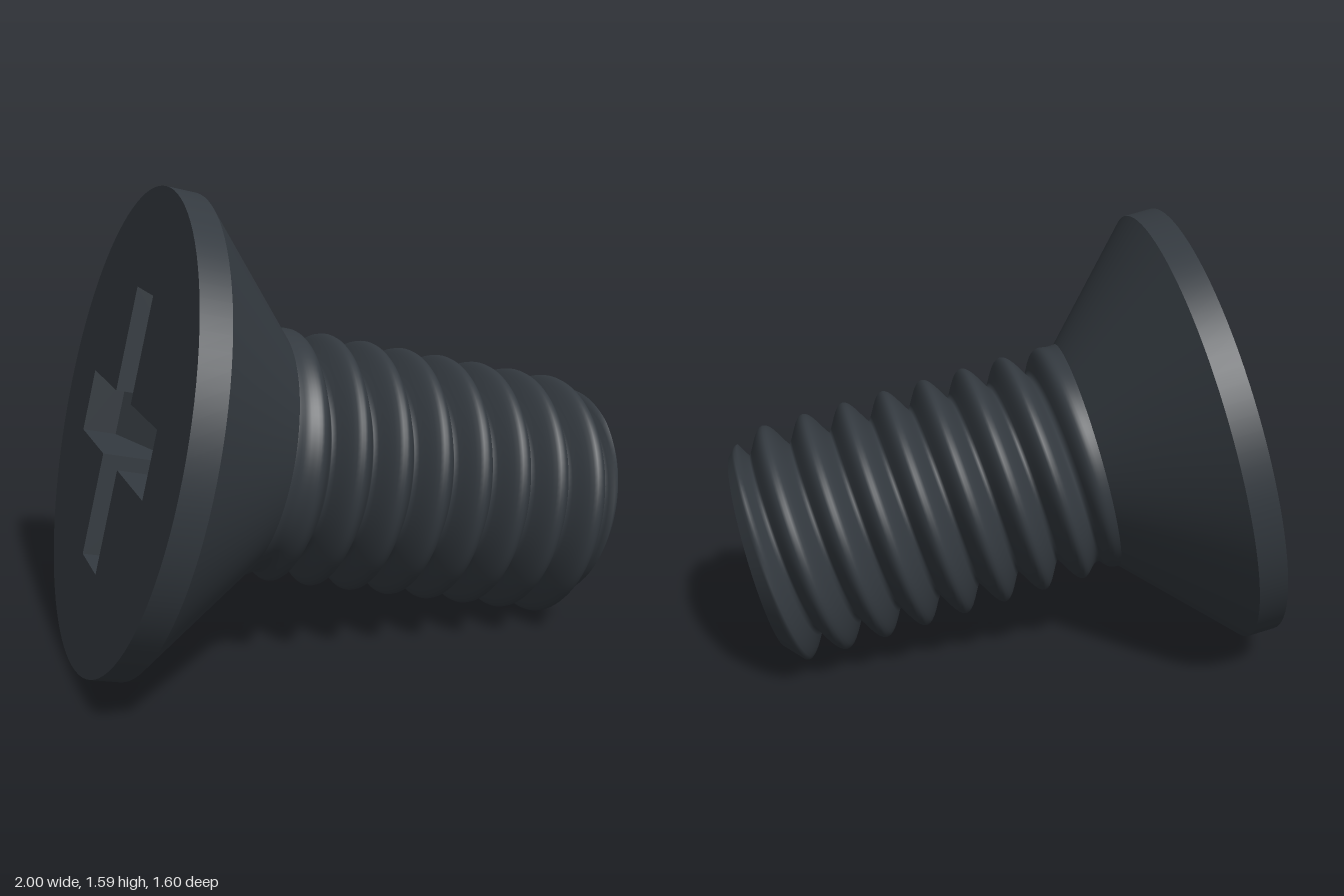
import * as THREE from 'three';
import { mergeVertices } from 'three/addons/utils/BufferGeometryUtils.js';

// Local frame: the screw runs along -z from its head face at z = 0.
const HEAD_R = 0.808, RIM = 0.1, NECK_R = 0.427, NECK = 0.47, END = 1.72;
const PITCH = 0.15, ROOT = 0.342, CREST = 0.435;
const SLOT_HALF = 0.11, SLOT_LEN = 0.465, SLOT_DEEP = 0.3, SLOT_SHALLOW = 0.12;

function buildGeometry(positions, indices) {
  const g = new THREE.BufferGeometry();
  g.setAttribute('position', new THREE.Float32BufferAttribute(positions, 3));
  if (indices) g.setIndex(indices);
  return g;
}

// Radius of the threaded shank at depth t and angle phi
function threadRadius(t, phi) {
  const u = (t - 0.07) / PITCH - phi / (2 * Math.PI);
  let r = ROOT + (CREST - ROOT) * Math.pow(Math.abs(Math.cos(Math.PI * u)), 1.2);
  r = THREE.MathUtils.lerp(NECK_R, r, THREE.MathUtils.smoothstep(t, NECK, NECK + 0.14));
  const chamfer = 0.362 + (END - t) * 1.1;
  return Math.min(r, chamfer);
}

function shankPoint(t, phi) {
  const r = threadRadius(t, phi);
  return [r * Math.sin(phi), r * Math.cos(phi), -t];
}

// Rows of the grid follow the helix, clamped at the neck and the tip
function threadGeometry() {
  const around = 96, perTurn = 14, rows = perTurn * 10, start = 0.22;
  const pos = [], idx = [];
  for (let i = 0; i <= rows; i++) {
    for (let j = 0; j <= around; j++) {
      const f = j / around;
      const t = THREE.MathUtils.clamp(start + PITCH * (i / perTurn + f), NECK, END);
      pos.push(...shankPoint(t, f * 2 * Math.PI));
    }
  }
  for (let i = 0; i < rows; i++) {
    for (let j = 0; j < around; j++) {
      const a = i * (around + 1) + j, c = a + around + 1;
      idx.push(a, a + 1, c, a + 1, c + 1, c);
    }
  }
  const g = mergeVertices(buildGeometry(pos, idx), 1e-5);
  g.computeVertexNormals();
  return g;
}

// Flat end of the shank
function tipGeometry() {
  const n = 96, pos = [];
  for (let j = 0; j < n; j++) {
    pos.push(0, 0, -END,
      ...shankPoint(END, j / n * 2 * Math.PI),
      ...shankPoint(END, (j + 1) / n * 2 * Math.PI));
  }
  const g = buildGeometry(pos);
  g.computeVertexNormals();
  return g;
}

// Head face with a cross-shaped opening
function faceGeometry() {
  const shape = new THREE.Shape().absarc(0, 0, HEAD_R, 0, Math.PI * 2, false);
  const h = SLOT_HALF, cross = [];
  for (let k = 0; k < 4; k++) {
    for (const [x, y] of [[SLOT_LEN, -h], [SLOT_LEN, h], [h, h]]) {
      cross.push(new THREE.Vector2(x, y).rotateAround(new THREE.Vector2(), k * Math.PI / 2));
    }
  }
  shape.holes.push(new THREE.Path(cross.reverse()));
  return new THREE.ShapeGeometry(shape, 48);
}

// One arm of the recess: sloped floor, end wall and two side walls
function slotArmGeometry() {
  const h = SLOT_HALF, L = SLOT_LEN, D = -SLOT_DEEP, e = -SLOT_SHALLOW;
  const quads = [
    [[h, -h, D], [L, -h, e], [L, h, e], [h, h, D]],
    [[L, -h, e], [L, -h, 0], [L, h, 0], [L, h, e]],
    [[h, h, D], [L, h, e], [L, h, 0], [h, h, 0]],
    [[h, -h, D], [h, -h, 0], [L, -h, 0], [L, -h, e]],
  ];
  const pos = quads.flatMap(([a, b, c, d]) => [a, b, c, a, c, d].flat());
  const g = buildGeometry(pos);
  g.computeVertexNormals();
  return g;
}

function lathe(points) {
  const g = new THREE.LatheGeometry(points.map(([r, t]) => new THREE.Vector2(r, t)), 96);
  return g.rotateX(-Math.PI / 2);
}

export function createModel() {
  const steel = new THREE.MeshStandardMaterial({ color: 0x343a40 });
  steel.name = 'dark steel';
  const model = new THREE.Group();
  model.name = 'screw';
  const screw = new THREE.Group();
  screw.name = 'tiltedScrew';
  model.add(screw);

  const add = (name, geometry, parent = screw) => {
    const mesh = new THREE.Mesh(geometry, steel);
    mesh.name = name;
    parent.add(mesh);
    return mesh;
  };

  // Countersunk head
  add('headFace', faceGeometry());
  add('headRim', lathe([[HEAD_R, 0], [HEAD_R, RIM]]));
  add('headCone', lathe([[HEAD_R, RIM], [NECK_R, NECK]]));

  // Cross recess
  const recess = new THREE.Group();
  recess.name = 'crossRecess';
  screw.add(recess);
  const arm = slotArmGeometry();
  for (let k = 0; k < 4; k++) add('recessArm', arm, recess).rotation.z = k * Math.PI / 2;
  add('recessFloor', new THREE.PlaneGeometry(2 * SLOT_HALF, 2 * SLOT_HALF), recess)
    .position.z = -SLOT_DEEP;

  // Threaded shank
  add('thread', threadGeometry());
  add('tip', tipGeometry());

  // Tilt the screw so that it rests on its head and tip
  const outward = new THREE.Vector3(-0.95, 0.2327, -0.209).normalize();
  const side = new THREE.Vector3(0, 1, 0).cross(outward).normalize();
  const up = outward.clone().cross(side);
  screw.quaternion.setFromRotationMatrix(new THREE.Matrix4().makeBasis(side, up, outward));
  screw.position.set(-0.748, 0.813, -0.011);
  return model;
}
